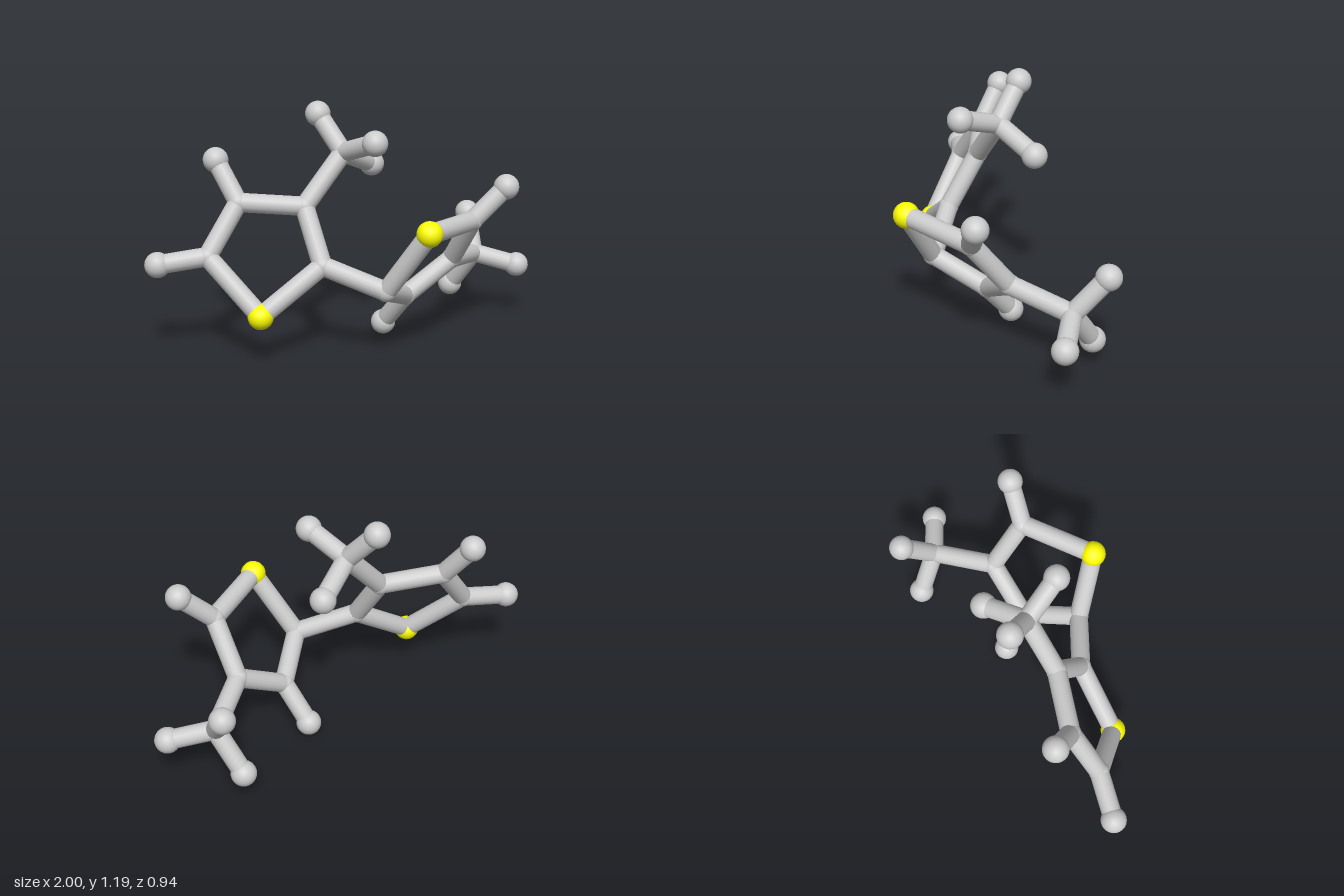
import * as THREE from 'three';

const BALL_R = 0.062, JOINT_R = 0.05, BOND_R = 0.047;

// Atom centres: s* sulfur, c* carbon joints, h* hydrogen ends
const ATOMS = {
  // left ring
  sA: [-0.505, 0.25, 0.153],
  cA2: [-0.712, 0.505, -0.045],
  cA3: [-0.543, 0.74, -0.115],
  cA4: [-0.238, 0.718, -0.033],
  cA5: [-0.195, 0.463, 0.125],
  hA2: [-0.944, 0.473, -0.086],
  hA3: [-0.623, 0.927, -0.234],
  // left ring methyl group
  cAM: [-0.03, 0.957, -0.085],
  hAM1: [-0.12, 1.129, -0.208],
  hAM2: [0.067, 1.035, 0.117],
  hAM3: [0.158, 0.862, -0.217],
  // right ring
  sB: [0.238, 0.66, 0.408],
  cB2: [0.08, 0.35, 0.257],
  cB3: [0.255, 0.24, 0.03],
  cB4: [0.513, 0.395, -0.013],
  cB5: [0.545, 0.638, 0.172],
  hB3: [0.186, 0.063, -0.105],
  hB5: [0.709, 0.798, 0.189],
  // right ring methyl group
  cBM: [0.73, 0.336, -0.25],
  hBM1: [0.751, 0.515, -0.406],
  hBM2: [0.933, 0.281, -0.159],
  hBM3: [0.65, 0.137, -0.376],
};

const BONDS = [
  'sA cA2', 'cA2 cA3', 'cA3 cA4', 'cA4 cA5', 'cA5 sA', 'cA2 hA2', 'cA3 hA3',
  'cA4 cAM', 'cAM hAM1', 'cAM hAM2', 'cAM hAM3',
  'cA5 cB2',
  'sB cB2', 'cB2 cB3', 'cB3 cB4', 'cB4 cB5', 'cB5 sB', 'cB3 hB3', 'cB5 hB5',
  'cB4 cBM', 'cBM hBM1', 'cBM hBM2', 'cBM hBM3',
];

export function createModel() {
  const model = new THREE.Group();
  model.name = 'ballAndStickMolecule';
  const grey = new THREE.MeshStandardMaterial({ color: 0xcccccc });
  const yellow = new THREE.MeshStandardMaterial({ color: 0xffff00 });
  const ball = new THREE.SphereGeometry(BALL_R, 24, 16);
  const joint = new THREE.SphereGeometry(JOINT_R, 24, 16);
  const up = new THREE.Vector3(0, 1, 0);

  // Atoms: large balls for sulfur and hydrogen, small joints for carbon
  const kinds = {
    s: ['sulfurAtom', ball, yellow],
    h: ['hydrogenAtom', ball, grey],
    c: ['carbonJoint', joint, grey],
  };
  for (const [key, pos] of Object.entries(ATOMS)) {
    const [name, geometry, material] = kinds[key[0]];
    const atom = new THREE.Mesh(geometry, material);
    atom.name = name;
    atom.position.set(...pos);
    model.add(atom);
  }

  // Bonds: straight rods between atom centres
  for (const pair of BONDS) {
    const [a, b] = pair.split(' ').map((k) => new THREE.Vector3(...ATOMS[k]));
    const dir = b.clone().sub(a);
    const bond = new THREE.Mesh(
      new THREE.CylinderGeometry(BOND_R, BOND_R, dir.length(), 16, 1, true), grey);
    bond.name = 'bond';
    bond.position.copy(a).add(b).multiplyScalar(0.5);
    bond.quaternion.setFromUnitVectors(up, dir.normalize());
    model.add(bond);
  }
  return model;
}
